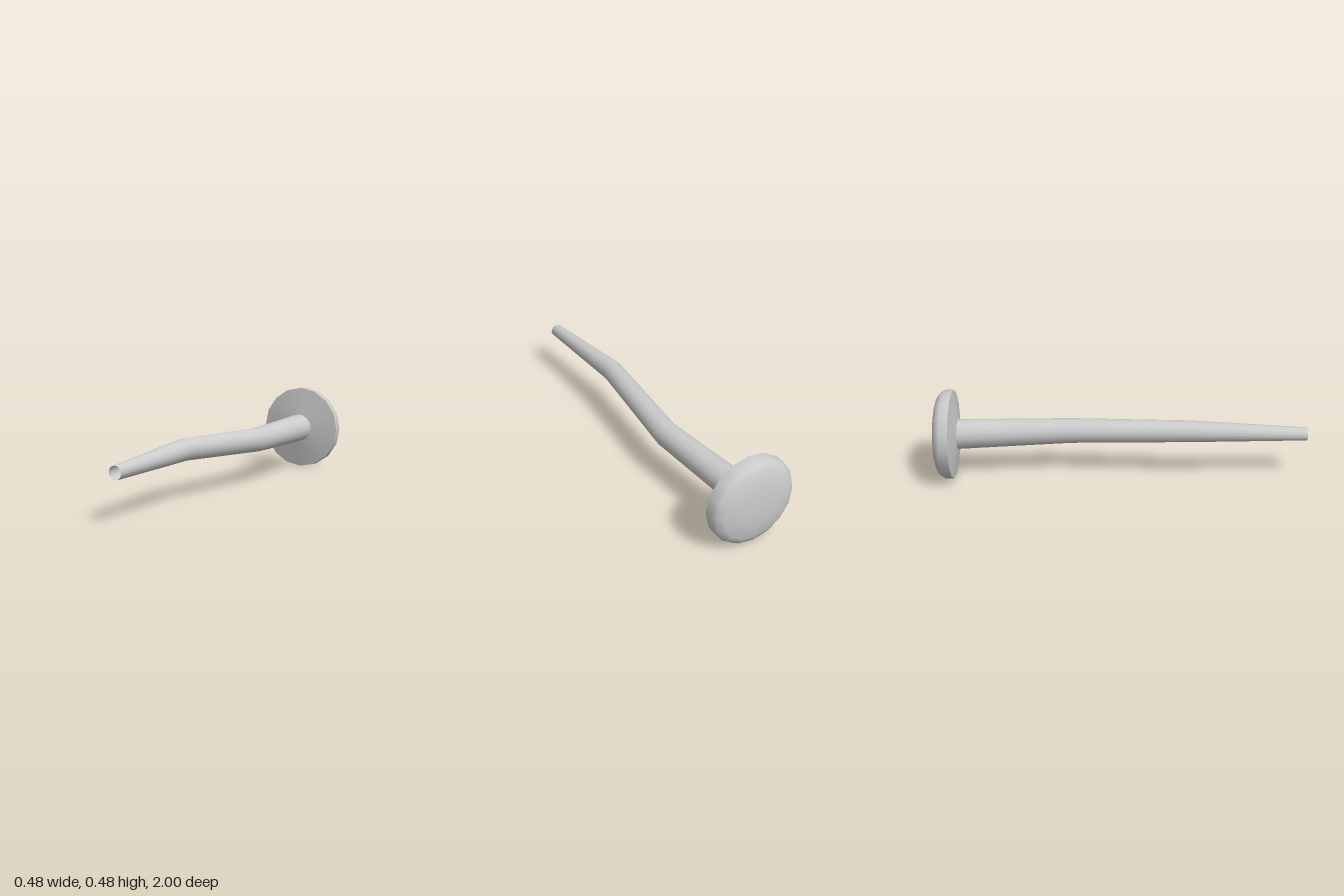
import * as THREE from 'three';
import { mergeVertices, toCreasedNormals } from 'three/addons/utils/BufferGeometryUtils.js';

const SIDES = 16;
const AXIS_Y = 0.24;

// Tapered tube with its rings moved on to a crooked centre line
function makeShank() {
  // x, y, z, radius from tip to head
  const rings = [
    [0, 0.242, 1, 0.035],
    [-0.023, 0.267, 0.38, 0.058],
    [0.043, 0.243, -0.27, 0.067],
    [0, 0.24, -0.876, 0.08],
  ];
  let geometry = new THREE.CylinderGeometry(1, 1, 1, SIDES, rings.length - 1, true);
  geometry.rotateX(Math.PI / 2);
  const position = geometry.attributes.position;
  for (let i = 0; i < position.count; i++) {
    const [x, y, z, r] = rings[Math.floor(i / (SIDES + 1))];
    position.setXYZ(i, x + r * position.getX(i), y + r * position.getY(i), z);
  }
  // Weld the seam so the shading runs smoothly around
  geometry.deleteAttribute('uv');
  geometry.deleteAttribute('normal');
  geometry = mergeVertices(geometry, 1e-4);
  geometry.computeVertexNormals();
  return geometry;
}

// Lathed disc: cone under the head, short rim, domed back
function makeHead() {
  const profile = [
    [0.08, 0.876], [0.239, 0.9], [0.239, 0.945], [0.225, 0.968],
    [0.193, 0.985], [0.1, 0.998], [0, 1],
  ].map(([r, h]) => new THREE.Vector2(r, h));
  const geometry = new THREE.LatheGeometry(profile, SIDES);
  geometry.rotateX(-Math.PI / 2);
  geometry.translate(0, AXIS_Y, 0);
  return toCreasedNormals(geometry, THREE.MathUtils.degToRad(50));
}

export function createModel() {
  const model = new THREE.Group();
  model.name = 'bentNail';
  const material = new THREE.MeshStandardMaterial({ color: 0xcccccc, side: THREE.DoubleSide });
  const add = (name, geometry) => {
    const mesh = new THREE.Mesh(geometry, material);
    mesh.name = name;
    model.add(mesh);
  };
  add('shank', makeShank());
  add('head', makeHead());
  return model;
}
